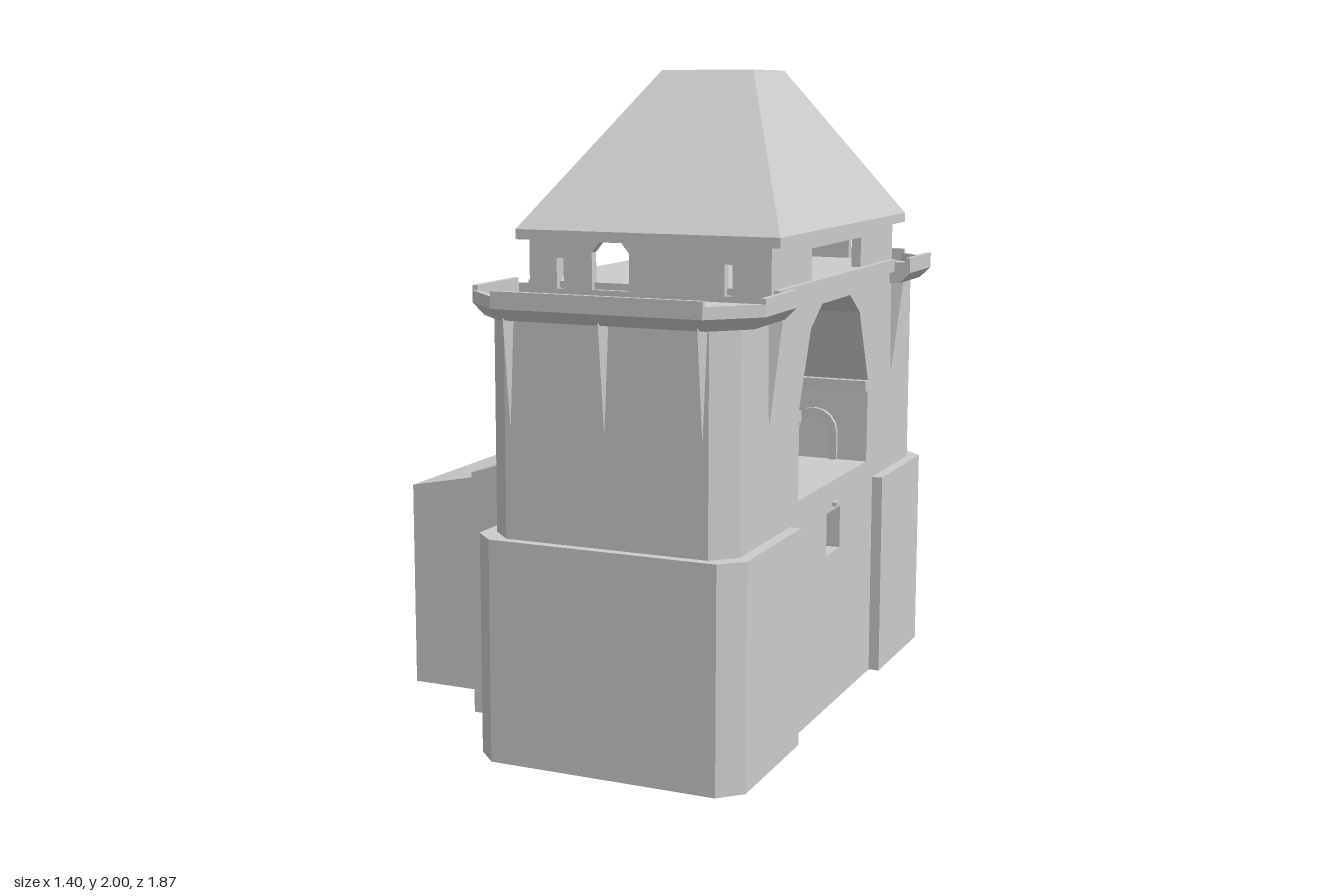
import * as THREE from 'three';

const mat = new THREE.MeshStandardMaterial({ color: 0xcccccc, flatShading: true, side: THREE.DoubleSide });

export function createModel() {
  const root = new THREE.Group();
  const add = (name, geo, parent = root) => {
    const m = new THREE.Mesh(geo, mat);
    m.name = name;
    parent.add(m);
    return m;
  };
  const box = (name, x0, x1, y0, y1, z0, z1) => {
    const g = new THREE.BoxGeometry(x1 - x0, y1 - y0, Math.abs(z1 - z0));
    return add(name, g.translate((x0 + x1) / 2, (y0 + y1) / 2, (z0 + z1) / 2));
  };
  // surface between successive rows of [x, y, z] points
  const loft = (name, rows, closed = false) => {
    const pos = [];
    for (let r = 0; r + 1 < rows.length; r++) {
      const a = rows[r], b = rows[r + 1], n = a.length;
      for (let i = 0; i < (closed ? n : n - 1); i++) {
        const j = (i + 1) % n;
        pos.push(...a[i], ...b[i], ...b[j], ...a[i], ...b[j], ...a[j]);
      }
    }
    const g = new THREE.BufferGeometry();
    g.setAttribute('position', new THREE.Float32BufferAttribute(pos, 3));
    g.computeVertexNormals();
    return add(name, g);
  };
  const at = (pts, y) => pts.map(([x, z]) => [x, y, z]);
  const shape = (pts, holes = []) => {
    const s = new THREE.Shape(pts.map(p => new THREE.Vector2(...p)));
    holes.forEach(h => s.holes.push(new THREE.Path(h.map(p => new THREE.Vector2(...p)))));
    return s;
  };
  const rect = (a, b, c, d) => [[a, c], [b, c], [b, d], [a, d]];
  const slab = (s, depth) => new THREE.ExtrudeGeometry(s, { depth, bevelEnabled: false });
  // wall facing x, drawn in (z, y), its outer side at x1
  const wallX = (name, s, x1, depth) => add(name, slab(s, depth).rotateY(-Math.PI / 2).translate(x1, 0, 0));
  const wallZ = (name, s, z0, depth) => add(name, slab(s, depth).translate(0, 0, z0));
  const cap = (name, pts, y) => add(name, new THREE.ShapeGeometry(shape(pts)).rotateX(Math.PI / 2).translate(0, y, 0));
  // plan of one pier with two chamfered outer corners
  const pier = (s, x0, x1, zIn, zOut, c) => [[x1, zIn], [x1, zOut - c], [x1 - c, zOut],
    [x0 + c, zOut], [x0, zOut - c], [x0, zIn]].map(([x, z]) => [x, z * s]);

  // gate passage
  const arch = [[0.33, 0.73], [0.335, 1.0], [0.235, 1.235], [0.135, 1.3],
    [-0.135, 1.3], [-0.235, 1.235], [-0.335, 1.0], [-0.33, 0.73]];
  const slot = rect(-0.065, 0.065, 0.5, 0.635);
  const frontal = rect(-0.46, 0.46, 0, 1.34);
  wallX('outerGateWall', shape(frontal, [arch, slot]), 0.63, 0.03);
  wallX('innerGateWall', shape(rect(-0.46, 0.46, 0.665, 1.34), [arch]), -0.1, 0.03);
  const ring = [...arch, arch[0]];
  loft('passageLining', [0.62, -0.12].map(x => ring.map(([z, y]) => [x, y, z])));
  loft('windowSoffit', [[0.62, 0.635], [0.45, 0.54]].map(([x, y]) => [[x, y, -0.065], [x, y, 0.065]]));
  loft('windowSill', [[0.62, 0.5], [0.45, 0.5], [0.45, 0.54]].map(([x, y]) => [[x, y, -0.065], [x, y, 0.065]]));
  for (const s of [-1, 1]) loft('windowJamb', [[[0.62, 0.5, s * 0.065], [0.45, 0.5, s * 0.065]],
    [[0.62, 0.635, s * 0.065], [0.45, 0.54, s * 0.065]]]);
  box('windowHook', 0.62, 0.645, 0.65, 0.662, -0.015, 0.015);
  box('lowerChamber', -0.13, 0.27, 0.23, 0.72, -0.24, 0.24);

  // outline of a small arched door frame, drawn in (x, y)
  const doorPath = (r, h, n = 8) => {
    const p = [[r, 0]];
    for (let i = 0; i <= n; i++) p.push([r * Math.cos(i * Math.PI / n), h + r * Math.sin(i * Math.PI / n)]);
    return [...p, [-r, 0]];
  };
  const frame = shape([...doorPath(0.08, 0.09), ...doorPath(0.055, 0.09).reverse()]);

  const spike = (x, z, turn) => {
    const m = loft('bracket', [
      [[-0.004, 1.0, -0.01], [0, 1.0, 0.002], [0.004, 1.0, -0.01]],
      [[-0.017, 1.31, -0.01], [0, 1.31, 0.04], [0.017, 1.31, -0.01]]]);
    m.position.set(x, 0, z);
    m.rotation.y = turn;
  };

  for (const s of [-1, 1]) {
    const zBox = (name, x0, x1, y0, y1, z0, z1) => box(name, x0, x1, y0, y1, s * z0, s * z1);
    box('impost', -0.13, 0.63, 0.965, 1.0, s * 0.31, s * 0.34);
    wallZ('sideDoorFrame', frame, s * 0.325 - 0.008, 0.016).position.set(0.45, 0.73, 0);

    // pier base, open below
    const base = pier(s, -0.17, 0.665, 0.4, 0.9, 0.065);
    const skirt = [[0.63, 0.4 * s], ...base.slice(0, 5), [-0.17, 0.53 * s]];
    loft('pierBase', [at(skirt, 0), at(skirt, 0.665)]);
    cap('pierLedge', base, 0.665);

    // pier shaft
    const shaft = pier(s, -0.13, 0.63, 0.45, 0.87, 0.067);
    loft('pierShaft', [at(shaft, 0.665), at(shaft, 1.34)]);

    // flared cornice with parapet rim and deck
    const outer = pier(s, -0.2, 0.7, 0.555, 0.935, 0.13);
    const inner = pier(s, -0.185, 0.685, 0.555, 0.92, 0.125);
    loft('cornice', [
      at(pier(s, -0.125, 0.625, 0.555, 0.865, 0.067), 1.3),
      at(pier(s, -0.165, 0.665, 0.555, 0.9, 0.1), 1.3),
      at(outer, 1.335), at(outer, 1.37), at(inner, 1.37), at(inner, 1.342)], true);
    cap('pierDeck', inner, 1.342);
    zBox('frontMerlon', -0.07, 0.57, 1.34, 1.385, 0.918, 0.935);
    zBox('sideMerlon', -0.2, -0.183, 1.34, 1.385, 0.555, 0.805);
    zBox('sideMerlon', 0.683, 0.7, 1.34, 1.385, 0.555, 0.805);

    // tapered brackets below the cornice
    for (const x of [-0.045, 0.25, 0.545]) spike(x, s * 0.87, s > 0 ? 0 : Math.PI);
    spike(0.63, s * 0.585, Math.PI / 2);
    spike(-0.13, s * 0.585, -Math.PI / 2);

    // buttress at the rear side, with an open window
    const side = [[-0.1, 0], [-0.1, 0.835], [-0.17, 0.835], [-0.37, 0.77], [-0.37, 0]];
    add('buttressSide', new THREE.ShapeGeometry(shape(side, [rect(-0.27, -0.172, 0.667, 0.77)]))
      .translate(0, 0, s * 0.53));
    loft('buttressRoof', [0.53, 0.335].map(z => side.slice(1).map(([x, y]) => [x, y, s * z])));
    const cheek = [[-0.1, 0.7], ...side.slice(1, 4), [-0.37, 0.7]];
    add('buttressCheek', new THREE.ShapeGeometry(shape(cheek)).translate(0, 0, s * 0.335));
    loft('buttressWindowSoffit', [[0.77, 0.53], [0.7, 0.45]].map(([y, z]) => [[-0.27, y, s * z], [-0.172, y, s * z]]));

    // end wall of the rear block
    add('rearBlockSide', new THREE.ShapeGeometry(shape([[-0.7, 0], [-0.37, 0], [-0.37, 0.73], [-0.7, 0.665]]))
      .translate(0, 0, s * 0.335));

    // end wall of the lookout room: doorway and two slits
    const door = [[0.07, 1.36], [0.19, 1.36], [0.19, 1.47], [0.165, 1.5], [0.095, 1.5], [0.07, 1.47]];
    wallZ('lookoutEndWall', shape(rect(-0.135, 0.63, 1.34, 1.52),
      [door, rect(-0.045, -0.022, 1.36, 1.45), rect(0.488, 0.512, 1.36, 1.45)]), s * 0.56 - 0.015, 0.03);
  }

  // rear block and its roof, open below
  loft('rearBlock', [-0.335, 0.335].map(z => [[-0.7, 0, z], [-0.7, 0.665, z], [-0.37, 0.73, z], [-0.1, 0.73, z]]));

  // lookout room between the piers
  const sideWall = shape(rect(-0.565, 0.565, 1.34, 1.52), [rect(-0.235, 0.235, 1.36, 1.475)]);
  wallX('lookoutSideWall', sideWall, 0.63, 0.03);
  wallX('lookoutSideWall', sideWall, -0.105, 0.03);
  box('middleDeck', -0.15, 0.647, 1.338, 1.38, -0.556, 0.556);

  // hipped roof with a flat open top
  const plan = (x0, x1, z) => [[x0, -z], [x1, -z], [x1, z], [x0, z]];
  const eave = plan(-0.167, 0.665, 0.602), well = plan(0.13, 0.37, 0.1);
  loft('roof', [at(eave, 1.503), at(eave, 1.533), at(plan(0.1, 0.4, 0.135), 2), at(well, 2), at(well, 1.88)], true);
  cap('roofUnderside', eave, 1.503);
  cap('roofWellFloor', well, 1.88);

  return root;
}
